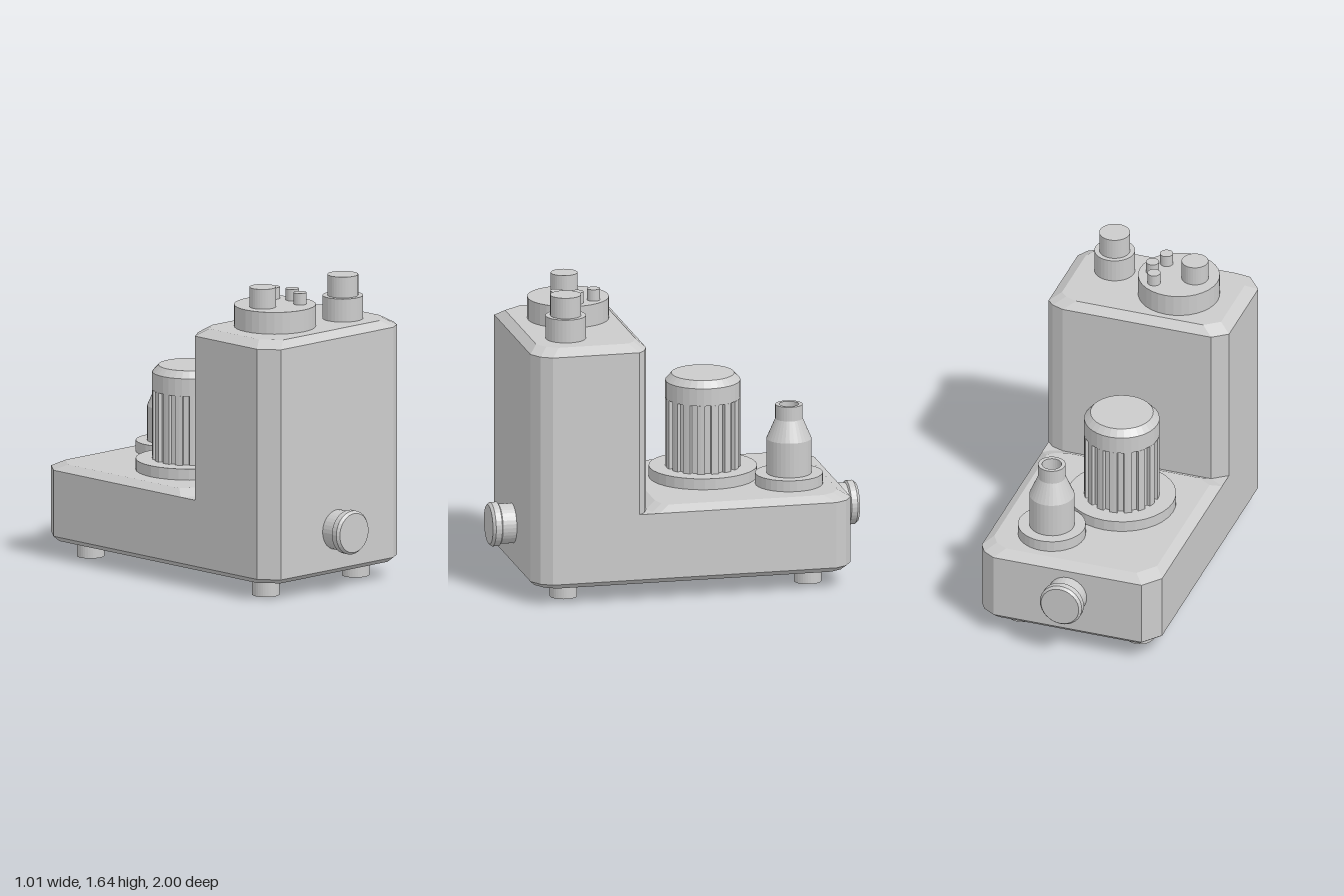
import * as THREE from 'three';

const mat = new THREE.MeshStandardMaterial({ color: 0xcccccc, flatShading: true });

function add(parent, name, geo, x = 0, y = 0, z = 0) {
  const m = new THREE.Mesh(geo, mat);
  m.name = name;
  m.position.set(x, y, z);
  parent.add(m);
  return m;
}

// Upright cylinder between two heights
function post(parent, name, x, z, r, y0, y1) {
  return add(parent, name, new THREE.CylinderGeometry(r, r, y1 - y0, 32), x, (y0 + y1) / 2, z);
}

// Turned part; profile is [radius, height] from bottom to top
function turned(parent, name, profile, x, y, z) {
  const pts = profile.map(([r, h]) => new THREE.Vector2(r, h));
  return add(parent, name, new THREE.LatheGeometry(pts, 32), x, y, z);
}

// Corner-cut rectangle seen from above; the +x corners are cut in two steps.
function outline(x0, x1, z0, z1, c0, c1) {
  return [
    [x0, z1 - c1], [x0 + 0.08, z1],
    [x1 - 0.1, z1], [x1 - 0.035, z1 - c1 * 0.4], [x1, z1 - c1],
    [x1, z0 + c0], [x1 - 0.035, z0 + c0 * 0.4], [x1 - 0.1, z0],
    [x0 + 0.08, z0], [x0, z0 + c0],
  ];
}

// Solid through horizontal rings [y, insetX, insetZ] of one outline
function block(parent, name, z0, z1, c0, c1, rings) {
  const pos = [], idx = [];
  let n = 0;
  for (const [y, ix, iz] of rings) {
    const o = outline(-0.508 + ix, 0.505 - ix, z0 + iz, z1 - iz, c0, c1);
    n = o.length;
    o.forEach(([x, z]) => pos.push(x, y, z));
  }
  for (let r = 0; r < rings.length - 1; r++) {
    for (let i = 0; i < n; i++) {
      const a = r * n + i, b = r * n + (i + 1) % n;
      idx.push(a, b, b + n, a, b + n, a + n);
    }
  }
  const top = (rings.length - 1) * n;
  for (let i = 1; i < n - 1; i++) {
    idx.push(top, top + i, top + i + 1);
    idx.push(0, i + 1, i);
  }
  const g = new THREE.BufferGeometry();
  g.setAttribute('position', new THREE.Float32BufferAttribute(pos, 3));
  g.setIndex(idx);
  g.computeVertexNormals();
  return add(parent, name, g);
}

export function createModel() {
  const model = new THREE.Group();
  model.name = 'machine';

  // Housing: full-length base, rear deck and front tower
  block(model, 'base', -0.875, 0.87, 0.1, 0.1, [[0.095, 0.02, 0.025], [0.12, 0, 0], [0.478, 0, 0]]);
  block(model, 'rearDeck', -0.875, 0.24, 0.1, 0.05, [[0.478, 0, 0], [0.51, 0.05, 0.06]]);
  block(model, 'tower', 0.24, 0.87, 0.06, 0.1, [[0.478, 0, 0], [1.367, 0, 0], [1.405, 0.06, 0.045]]);

  // Feet
  for (const x of [-0.345, 0.32])
    for (const z of [0.67, -0.66]) post(model, 'foot', x, z, 0.073, z > 0 && x < 0 ? 0 : 0.008, 0.11);

  // Capped pipe ports at front and back
  for (const s of [1, -1]) {
    const port = turned(model, s > 0 ? 'frontPort' : 'rearPort', [
      [0, 0], [0.107, 0], [0.107, 0.085], [0.118, 0.092], [0.118, 0.125], [0.106, 0.14], [0, 0.14],
    ], -0.012, 0.333, s * 0.86);
    port.rotation.x = s * Math.PI / 2;
  }

  // Fittings on top of the tower
  const panel = new THREE.Group();
  panel.name = 'topFittings';
  model.add(panel);
  post(panel, 'controlDisc', -0.145, 0.535, 0.217, 1.39, 1.523);
  post(panel, 'largeKnob', -0.235, 0.535, 0.071, 1.52, 1.63);
  for (const [x, z] of [[-0.045, 0.42], [-0.002, 0.52], [-0.045, 0.622]])
    post(panel, 'pin', x, z, 0.035, 1.52, 1.585);
  post(panel, 'capCollar', 0.253, 0.642, 0.108, 1.39, 1.53);
  post(panel, 'cap', 0.253, 0.642, 0.082, 1.52, 1.643);

  // Motor with slotted sides and bevelled lid
  const motor = new THREE.Group();
  motor.name = 'motor';
  motor.position.set(-0.075, 0, -0.183);
  model.add(motor);
  post(motor, 'motorFlange', 0, 0, 0.288, 0.49, 0.57);
  const ribs = new THREE.Shape();
  const teeth = 16;
  for (let i = 0; i < teeth; i++) {
    for (const [f, r] of [[0, 0.2], [0.27, 0.2], [0.54, 0.2], [0.56, 0.18], [0.98, 0.18]]) {
      const a = (i + f) / teeth * Math.PI * 2;
      const x = r * Math.cos(a), y = r * Math.sin(a);
      if (i === 0 && f === 0) ribs.moveTo(x, y);
      else ribs.lineTo(x, y);
    }
  }
  ribs.closePath();
  const ribGeo = new THREE.ExtrudeGeometry(ribs, { depth: 0.385, bevelEnabled: false });
  ribGeo.rotateX(-Math.PI / 2);
  add(motor, 'motorRibs', ribGeo, 0, 0.56, 0);
  turned(motor, 'motorLid', [[0, 0.945], [0.2, 0.945], [0.2, 1.04], [0.167, 1.077], [0, 1.077]], 0, 0, 0);

  // Bottle-shaped valve with an open neck
  const valve = new THREE.Group();
  valve.name = 'valve';
  valve.position.set(0.175, 0, -0.593);
  model.add(valve);
  post(valve, 'valveFlange', 0, 0, 0.18, 0.49, 0.57);
  turned(valve, 'valveBody', [
    [0.12, 0.56], [0.12, 0.758], [0.073, 0.867], [0.073, 0.945], [0.052, 0.945], [0.052, 0.88], [0, 0.88],
  ], 0, 0, 0);

  return model;
}
